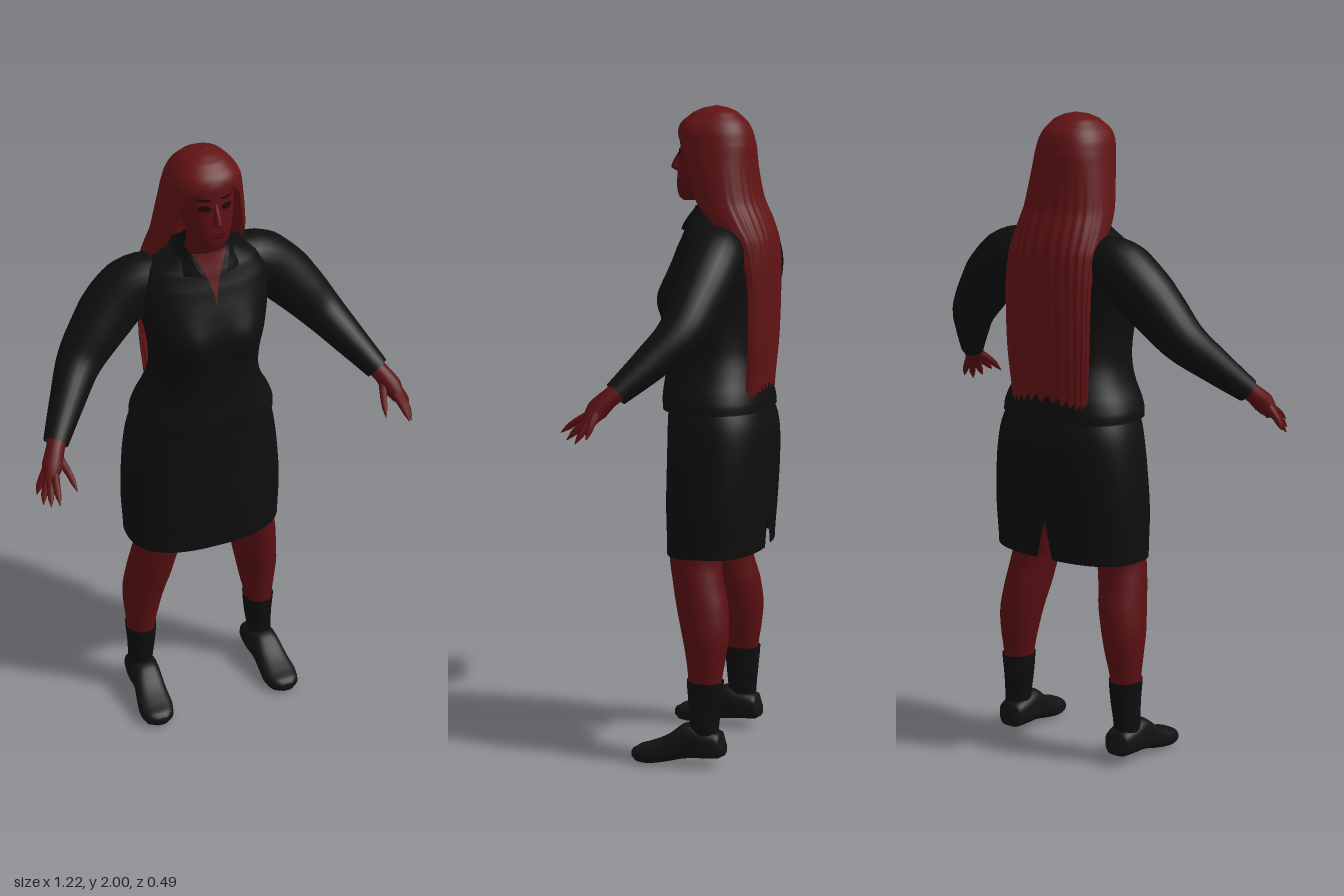
import * as THREE from 'three';

const mat = (name, color, side = THREE.FrontSide) => {
  const m = new THREE.MeshStandardMaterial({ color, side });
  m.name = name;
  return m;
};

// Sections are [y, half width, front z, back z, centre x, front opening angle], lowest first
function sectionAt(secs, y) {
  let i = 0;
  while (i < secs.length - 2 && y > secs[i + 1][0]) i++;
  const t = (y - secs[i][0]) / (secs[i + 1][0] - secs[i][0]);
  const pick = (k, c) => secs[Math.min(Math.max(k, 0), secs.length - 1)][c] ?? 0;
  return [0, 1, 2, 3, 4, 5].map((c) => {
    if (c === 0) return y;
    const a = pick(i - 1, c), b = pick(i, c), d = pick(i + 1, c), e = pick(i + 2, c);
    return b + 0.5 * t * (d - a + t * (2 * a - 5 * b + 4 * d - e + t * (3 * (b - d) + e - a)));
  });
}

function gridGeometry(rows, closed) {
  const n = rows[0].length, pos = rows.flat(2), idx = [];
  for (let i = 0; i < rows.length - 1; i++)
    for (let j = 0; j < (closed ? n : n - 1); j++) {
      const k = (j + 1) % n, a = i * n + j, b = i * n + k, c = b + n, d = a + n;
      idx.push(a, b, c, a, c, d);
    }
  const g = new THREE.BufferGeometry();
  g.setAttribute('position', new THREE.Float32BufferAttribute(pos, 3));
  g.setIndex(idx);
  g.computeVertexNormals();
  return g;
}

// Smooth skin through superellipse sections; rule may move each point
function loft(secs, { n = 2, seg = 40, open = false, cap = false, rule = (p) => p } = {}) {
  const ys = [];
  for (let i = 0; i < secs.length - 1; i++)
    for (let k = 0; k < 5; k++) ys.push(secs[i][0] + ((secs[i + 1][0] - secs[i][0]) * k) / 5);
  ys.push(secs[secs.length - 1][0]);
  const ring = (y, shrink = 1) => {
    const [, rx, zf, zb, cx, gap] = sectionAt(secs, y), row = [];
    const g = open ? Math.max(0, gap) : 0;
    for (let j = 0; j < (open ? seg + 1 : seg); j++) {
      const a = g + ((2 * Math.PI - 2 * g) * j) / seg, s = Math.sin(a), c = Math.cos(a);
      const sx = Math.sign(s) * Math.abs(s) ** (2 / n), sz = Math.sign(c) * Math.abs(c) ** (2 / n);
      row.push(rule([cx + rx * sx * shrink, y, (zf + zb) / 2 + ((zf - zb) / 2) * sz * shrink], a, j));
    }
    return row;
  };
  const rows = ys.map((y) => ring(y));
  if (cap) {
    rows.unshift(ring(ys[0], 0));
    rows.push(ring(ys[ys.length - 1], 0));
  }
  return gridGeometry(rows, !open);
}

// Thin patch lying on the front of a loft
function patch(secs, n, cx, y0, y1, half, off, bump = () => 0) {
  const rows = [];
  for (let i = 0; i <= 14; i++) {
    const y = y0 + ((y1 - y0) * i) / 14, w = half(i / 14), [, rx, zf, zb] = sectionAt(secs, y), row = [];
    for (let j = 0; j <= 10; j++) {
      const x = cx + w * (j / 5 - 1);
      const k = Math.max(0, 1 - Math.abs(x / rx) ** n) ** (1 / n);
      row.push([x, y, (zf + zb) / 2 + ((zf - zb) / 2) * k + bump(x, y) + off]);
    }
    rows.push(row);
  }
  return gridGeometry(rows, false);
}
const oval = (w) => (v) => w * Math.sqrt(Math.max(0, 1 - (2 * v - 1) ** 2));

// Tube whose radius follows a list
function taper(points, radii, steps = 20, sides = 18) {
  const curve = new THREE.CatmullRomCurve3(points.map((p) => new THREE.Vector3(...p)));
  const g = new THREE.TubeGeometry(curve, steps, 1, sides), p = g.attributes.position, v = new THREE.Vector3();
  for (let i = 0; i <= steps; i++) {
    const c = curve.getPointAt(i / steps), f = (i / steps) * (radii.length - 1);
    const k = Math.min(Math.floor(f), radii.length - 2), r = THREE.MathUtils.lerp(radii[k], radii[k + 1], f - k);
    for (let j = 0; j <= sides; j++) {
      const q = i * (sides + 1) + j;
      v.fromBufferAttribute(p, q).sub(c).multiplyScalar(r).add(c);
      p.setXYZ(q, v.x, v.y, v.z);
    }
  }
  return g;
}

export function createModel() {
  const model = new THREE.Group();
  const skin = mat('skin', 0x5a1012), hairMat = mat('hair', 0x621315, THREE.DoubleSide);
  const cloth = mat('black cloth', 0x0e0e0e, THREE.DoubleSide), leather = mat('black leather', 0x121212);
  const dark = mat('eye shadow', 0x1c0607), lip = mat('lips', 0x480a0d);
  const add = (name, geo, m) => {
    const mesh = new THREE.Mesh(geo, m);
    mesh.name = name;
    model.add(mesh);
    return mesh;
  };

  // Jacket, neckline and collar
  const jacket = [
    [1.09, 0.225, 0.09, -0.235], [1.13, 0.218, 0.092, -0.23], [1.2, 0.184, 0.086, -0.212],
    [1.26, 0.167, 0.086, -0.195], [1.34, 0.168, 0.09, -0.185], [1.42, 0.182, 0.094, -0.185],
    [1.5, 0.198, 0.075, -0.192], [1.58, 0.203, 0.045, -0.198], [1.63, 0.172, 0.025, -0.192],
    [1.66, 0.125, 0.012, -0.175], [1.69, 0.075, 0.002, -0.13],
  ];
  const bust = (x, y) => 0.02 * Math.exp(-(((Math.abs(x) - 0.09) / 0.06) ** 2) - ((y - 1.42) / 0.07) ** 2);
  add('jacket', loft(jacket, {
    n: 2.4, seg: 64,
    rule: ([x, y, z], a) => [x, y, z + (Math.cos(a) > 0 ? bust(x, y) * Math.min(1, Math.cos(a) * 3) : 0)],
  }), cloth);
  add('neckline', patch(jacket, 2.4, 0, 1.53, 1.688, (v) => 0.012 * v + 0.043 * v * v, 0.004, bust), skin);
  add('collar', loft([
    [1.63, 0.125, 0.045, -0.17, 0, 0.3], [1.67, 0.095, 0.03, -0.145, 0, 0.62], [1.705, 0.078, 0.015, -0.12, 0, 0.95],
  ], { open: true }), cloth);

  // Skirt with a slit at the centre back
  add('skirt', loft([
    [0.655, 0.252, 0.07, -0.225], [0.8, 0.256, 0.073, -0.235], [0.95, 0.245, 0.072, -0.243],
    [1.05, 0.228, 0.072, -0.238], [1.15, 0.195, 0.07, -0.205],
  ], {
    n: 2.5, seg: 96,
    rule: ([x, y, z], a, j) => [x, j === 48 ? Math.max(y, 0.78) : y - (y < 0.7 ? 0.012 * Math.max(0, Math.cos(a)) : 0), z],
  }), cloth);

  // Neck and head
  add('neck', taper([[0, 1.6, -0.07], [0, 1.69, -0.055], [0, 1.79, -0.035]], [0.062, 0.05, 0.05]), skin);
  const head = [
    [1.715, 0.022, 0.046, -0.005], [1.725, 0.036, 0.056, -0.025], [1.75, 0.055, 0.062, -0.06],
    [1.79, 0.069, 0.061, -0.1], [1.84, 0.078, 0.055, -0.12], [1.88, 0.081, 0.05, -0.13],
    [1.92, 0.077, 0.044, -0.13], [1.95, 0.062, 0.026, -0.12], [1.97, 0.03, -0.005, -0.09],
  ];
  add('head', loft(head, { n: 2.2, cap: true }), skin);
  add('nose', loft([
    [1.803, 0.009, 0.07, 0.04], [1.812, 0.017, 0.083, 0.04], [1.825, 0.012, 0.081, 0.04],
    [1.85, 0.008, 0.067, 0.04], [1.872, 0.007, 0.053, 0.035],
  ], { cap: true, seg: 20 }), skin);
  add('upperLip', patch(head, 2.2, 0, 1.776, 1.787, oval(0.024), 0.007), lip);
  add('lowerLip', patch(head, 2.2, 0, 1.764, 1.776, oval(0.021), 0.006), lip);

  // Long hair, parted around the face and falling down the back
  add('hair', loft([
    [1.13, 0.138, -0.16, -0.222, 0, 1.57], [1.3, 0.15, -0.165, -0.236, 0, 1.57], [1.5, 0.154, -0.15, -0.243, 0, 1.57],
    [1.6, 0.153, -0.1, -0.241, 0, 1.5], [1.66, 0.15, -0.03, -0.225, 0, 1.2], [1.72, 0.142, 0.01, -0.2, 0, 0.98],
    [1.8, 0.131, 0.03, -0.185, 0, 0.85], [1.88, 0.117, 0.05, -0.178, 0, 0.74], [1.92, 0.108, 0.056, -0.168, 0, 0.45],
    [1.95, 0.092, 0.046, -0.153, 0, 0], [1.98, 0.063, 0.01, -0.122, 0, 0], [1.993, 0.036, -0.02, -0.095, 0, 0],
    [2.0, 0.004, -0.055, -0.063, 0, 0],
  ], {
    n: 2.3, seg: 110, open: true,
    rule: ([x, y, z], a) => [x, y, z + 0.003 * Math.sin(a * 26) * THREE.MathUtils.clamp((1.85 - y) * 4, 0, 1)],
  }), hairMat);

  for (const s of [1, -1]) {
    const side = s > 0 ? 'left' : 'right';
    const at = (list) => list.map(([x, y, z]) => [x * s, y, z]);
    const shift = (list) => list.map(([y, r, f, b, cx]) => [y, r, f, b, cx * s]);

    // Eyes and brows
    add(side + 'Eye', patch(head, 2.2, 0.034 * s, 1.852, 1.872, oval(0.018), 0.003), dark);
    add(side + 'Brow', patch(head, 2.2, 0.036 * s, 1.884, 1.892, oval(0.022), 0.003), dark);

    // Sleeve
    add(side + 'Sleeve', taper(at([
      [0.12, 1.57, -0.1], [0.19, 1.56, -0.11], [0.255, 1.515, -0.108], [0.325, 1.44, -0.09],
      [0.39, 1.36, -0.065], [0.455, 1.28, 0.005], [0.522, 1.198, 0.086],
    ]), [0.08, 0.092, 0.088, 0.076, 0.062, 0.05, 0.038], 36, 24), cloth);

    // Hand with tapered fingers
    add(side + 'Palm', taper(at([[0.51, 1.212, 0.073], [0.535, 1.18, 0.11], [0.555, 1.145, 0.14], [0.567, 1.118, 0.155]]),
      [0.029, 0.028, 0.032, 0.02]), skin);
    const fingers = {
      Thumb: [[0.53, 1.175, 0.11], [0.51, 1.135, 0.165], [0.5, 1.095, 0.207]],
      IndexFinger: [[0.55, 1.145, 0.145], [0.56, 1.115, 0.2], [0.565, 1.085, 0.24]],
      MiddleFinger: [[0.557, 1.14, 0.145], [0.575, 1.1, 0.185], [0.585, 1.068, 0.215]],
      RingFinger: [[0.562, 1.14, 0.14], [0.587, 1.095, 0.165], [0.6, 1.06, 0.185]],
      LittleFinger: [[0.565, 1.15, 0.13], [0.592, 1.11, 0.14], [0.607, 1.075, 0.148]],
    };
    for (const [name, pts] of Object.entries(fingers))
      add(side + name, taper(at(pts), [0.015, 0.013, 0.011, 0.009, 0.001], 14, 10), skin);

    // Leg, sock and shoe
    add(side + 'Leg', loft(shift([
      [0.24, 0.044, -0.036, -0.138, 0.208], [0.28, 0.047, -0.034, -0.14, 0.207], [0.35, 0.058, -0.025, -0.151, 0.203],
      [0.42, 0.067, -0.01, -0.157, 0.197], [0.5, 0.072, 0.01, -0.15, 0.183], [0.57, 0.074, 0.024, -0.132, 0.172],
      [0.64, 0.077, 0.038, -0.125, 0.157], [0.85, 0.095, 0.045, -0.16, 0.13],
    ])), skin);
    add(side + 'Sock', loft(shift([
      [0.09, 0.04, -0.04, -0.13, 0.213], [0.13, 0.04, -0.04, -0.132, 0.212], [0.2, 0.045, -0.035, -0.139, 0.208],
      [0.27, 0.05, -0.03, -0.145, 0.208],
    ])), cloth);
    const shoe = loft(shift([
      [-0.15, 0.026, -0.038, -0.07, 0.208], [-0.135, 0.043, -0.03, -0.108, 0.208], [-0.08, 0.05, -0.026, -0.122, 0.21],
      [-0.025, 0.047, -0.02, -0.128, 0.212], [0.03, 0.052, -0.008, -0.088, 0.217], [0.08, 0.056, -0.001, -0.063, 0.22],
      [0.12, 0.046, -0.003, -0.05, 0.222], [0.14, 0.022, -0.012, -0.038, 0.222],
    ]), { n: 2.8, cap: true });
    add(side + 'Shoe', shoe.rotateX(Math.PI / 2), leather);
  }
  return model;
}
